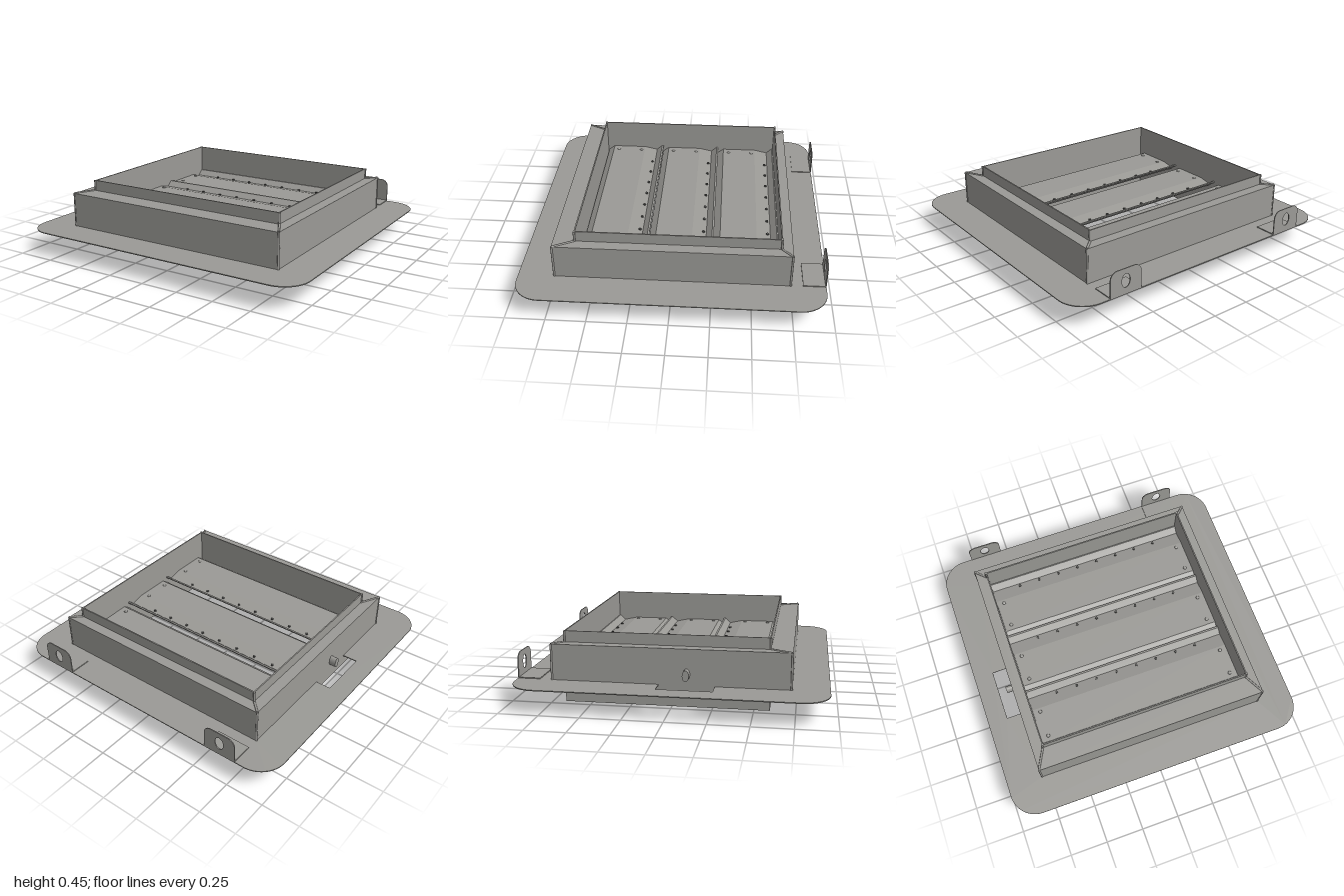
import * as THREE from 'three';

const steel = new THREE.MeshStandardMaterial({ color: 0x9b9a96 });
steel.name = 'galvanised steel';
const dark = new THREE.MeshStandardMaterial({ color: 0x555553 });
dark.name = 'dark fastener';

export function createModel() {
  const root = new THREE.Group();
  root.name = 'damperFrame';

  const add = (name, geometry, material = steel, parent = root) => {
    const mesh = new THREE.Mesh(geometry, material);
    mesh.name = name;
    parent.add(mesh);
    return mesh;
  };
  const group = (name) => {
    const g = new THREE.Group();
    g.name = name;
    root.add(g);
    return g;
  };

  // Outlines are drawn in (x, -z) and raised along y
  const rect = (Type, x0, x1, z0, z1) => {
    const p = new Type();
    p.moveTo(x0, -z1);
    p.lineTo(x1, -z1);
    p.lineTo(x1, -z0);
    p.lineTo(x0, -z0);
    p.closePath();
    return p;
  };
  const raise = (shape, y0, y1) => {
    const g = new THREE.ExtrudeGeometry(shape, { depth: y1 - y0, bevelEnabled: false, curveSegments: 10 });
    return g.rotateX(-Math.PI / 2).translate(0, y0, 0);
  };
  const sheetRing = (name, outer, inner, y0, y1) => {
    const s = rect(THREE.Shape, ...outer);
    s.holes.push(rect(THREE.Path, ...inner));
    add(name, raise(s, y0, y1));
  };

  // Mounting plate with rounded corners, central opening and shaft notch
  const r = 0.17, w = 1, d = 0.95;
  const plate = new THREE.Shape();
  plate.moveTo(-w + r, -d);
  plate.lineTo(w - r, -d);
  plate.absarc(w - r, -d + r, r, -Math.PI / 2, 0);
  plate.absarc(w - r, d - r, r, 0, Math.PI / 2);
  plate.absarc(-w + r, d - r, r, Math.PI / 2, Math.PI);
  plate.absarc(-w + r, -d + r, r, Math.PI, Math.PI * 1.5);
  const opening = [
    [-0.768, -0.725], [0.768, -0.725], [0.768, 0.735], [-0.768, 0.735],
    [-0.768, 0.07], [-0.87, 0.07], [-0.87, -0.27], [-0.768, -0.27],
  ];
  plate.holes.push(new THREE.Path(opening.map(([x, y]) => new THREE.Vector2(x, y))));
  add('mountingPlate', raise(plate, 0.15, 0.156));

  // Outer sleeve, top flange and inner collar
  sheetRing('outerSleeve', [-0.77, 0.77, -0.737, 0.727], [-0.76, 0.76, -0.727, 0.717], 0.08, 0.372);
  sheetRing('topFlange', [-0.77, 0.77, -0.737, 0.727], [-0.699, 0.699, -0.669, 0.594], 0.372, 0.38);
  sheetRing('innerCollar', [-0.7, 0.7, -0.67, 0.595], [-0.692, 0.692, -0.662, 0.587], 0, 0.45);

  // Weld beads along the sleeve corners, flange mitres and collar corners
  const welds = group('cornerWelds');
  const bead = (a, b) => {
    const from = new THREE.Vector3(...a), to = new THREE.Vector3(...b);
    const dir = to.clone().sub(from);
    const m = add('weldBead', new THREE.CylinderGeometry(0.007, 0.007, dir.length(), 8), steel, welds);
    m.position.copy(from).add(to).multiplyScalar(0.5);
    m.quaternion.setFromUnitVectors(new THREE.Vector3(0, 1, 0), dir.normalize());
  };
  for (const s of [-1, 1]) {
    for (const [zo, zi] of [[-0.733, -0.668], [0.723, 0.593]]) {
      bead([s * 0.768, 0.08, zo], [s * 0.768, 0.38, zo]);
      bead([s * 0.768, 0.38, zo], [s * 0.7, 0.38, zi]);
      bead([s * 0.7, 0.38, zi], [s * 0.7, 0.45, zi]);
    }
  }

  // Three folded blades with rivets
  const profile = [[0, 0.265], [0.012, 0.265], [0.05, 0.23], [0.14, 0.25], [0.375, 0.25], [0.418, 0.218]];
  const t = 0.008;
  for (let i = 0; i < 3; i++) {
    const z0 = -0.667 + i * 0.415;
    const blade = group('blade' + (i + 1));
    const pts = [...profile, ...profile.slice().reverse().map(([z, y]) => [z, y - t])];
    const shape = new THREE.Shape(pts.map(([z, y]) => new THREE.Vector2(z, y)));
    const g = new THREE.ExtrudeGeometry(shape, { depth: 1.386, bevelEnabled: false });
    g.rotateY(-Math.PI / 2).translate(0.693, 0, z0);
    add('bladeSheet', g, steel, blade);
    for (let k = 0; k < 8; k++) {
      const rivet = add('seamRivet', new THREE.CylinderGeometry(0.009, 0.009, 0.012, 10), dark, blade);
      rivet.position.set(-0.5 + k / 7, 0.236, z0 + 0.069);
    }
    for (const x of [-0.645, 0.645]) {
      for (const dz of [0.165, 0.337]) {
        const rivet = add('endRivet', new THREE.SphereGeometry(0.012, 12, 8), steel, blade);
        rivet.scale.y = 0.6;
        rivet.position.set(x, 0.25, z0 + dz);
      }
    }
  }

  // Drive shaft stub through the sleeve
  const shaft = add('driveShaft', new THREE.CylinderGeometry(0.035, 0.035, 0.06, 24).rotateZ(Math.PI / 2));
  shaft.scale.z = 0.6;
  shaft.position.set(-0.784, 0.225, 0.1);

  // Angled hanging tabs at the back edge
  for (const s of [-1, 1]) {
    const tab = group(s < 0 ? 'rightHangingTab' : 'leftHangingTab');
    const h = 0.11, top = 0.315, c = 0.05;
    const face = new THREE.Shape();
    face.moveTo(-h, 0.156);
    face.lineTo(h, 0.156);
    face.absarc(h - c, top - c, c, 0, Math.PI / 2);
    face.absarc(-h + c, top - c, c, Math.PI / 2, Math.PI);
    face.closePath();
    const hole = new THREE.Path();
    hole.absellipse(0, 0.237, 0.03, 0.043, 0, Math.PI * 2, true);
    face.holes.push(hole);
    add('tabFace', new THREE.ExtrudeGeometry(face, { depth: 0.006, bevelEnabled: false })
      .translate(0, 0, -0.95), steel, tab);
    const foot = add('tabFoot', new THREE.BoxGeometry(2 * h, 0.006, 0.14), steel, tab);
    foot.position.set(0, 0.159, -0.879);
    tab.position.x = s * 0.658;
  }

  return root;
}
